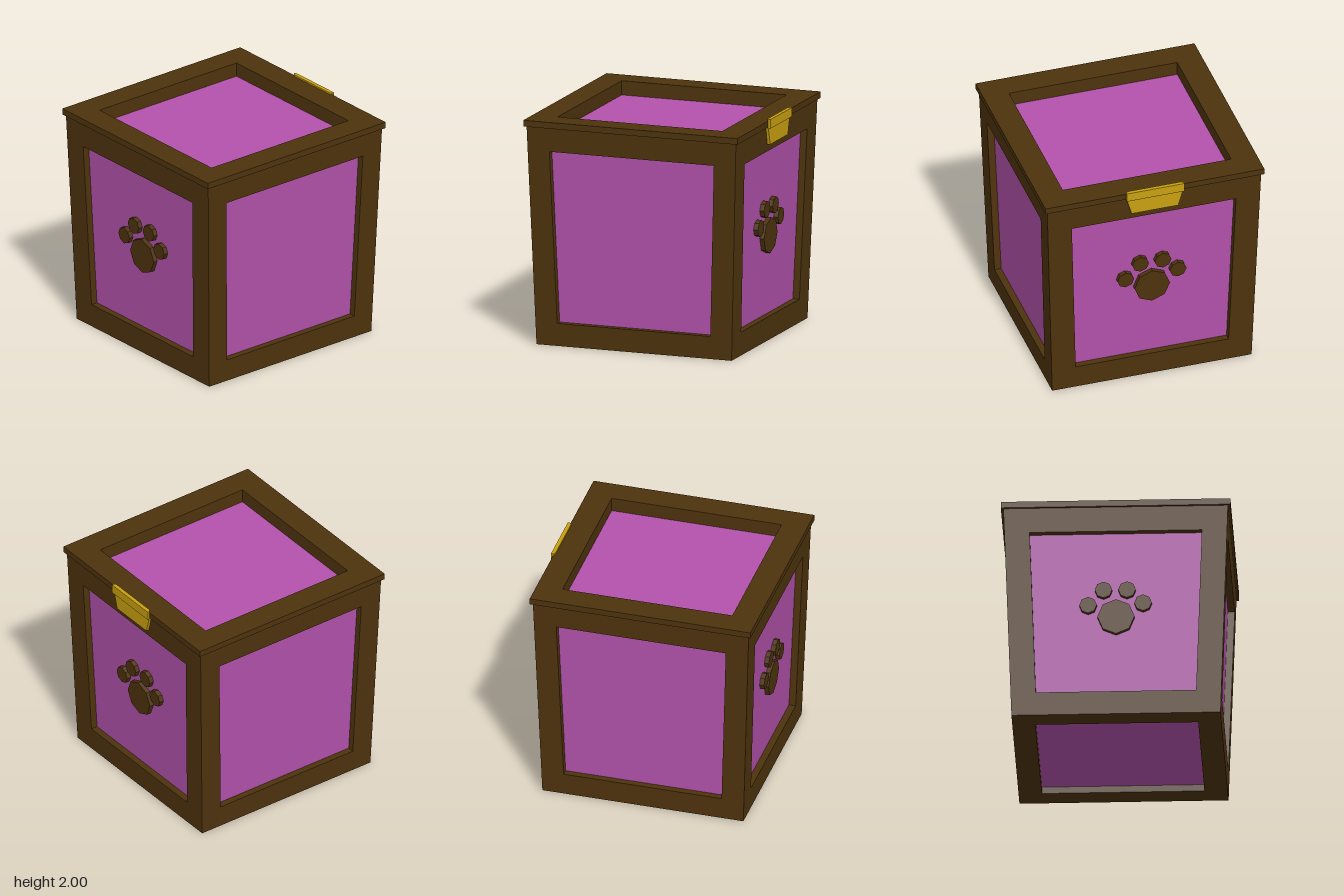
import * as THREE from 'three';

const brown = new THREE.MeshStandardMaterial({ color: 0x4e330d });
brown.name = 'dark wood';
const purple = new THREE.MeshStandardMaterial({ color: 0xb352ab });
purple.name = 'purple panel';
const gold = new THREE.MeshStandardMaterial({ color: 0xc8a010 });
gold.name = 'gold';

const BODY_H = 1.93, BASE = 0.9, FLARE = 0.066 / BODY_H, DEPTH = 0.06;
const half = (y) => BASE + FLARE * y; // half width of the flared body at height y

function mesh(name, geometry, material) {
  const m = new THREE.Mesh(geometry, material);
  m.name = name;
  return m;
}

// Flat-shaded geometry from quads given counter-clockwise
function quads(list) {
  const pos = [];
  for (const [a, b, c, d] of list) for (const p of [a, b, c, a, c, d]) pos.push(...p);
  const g = new THREE.BufferGeometry();
  g.setAttribute('position', new THREE.Float32BufferAttribute(pos, 3));
  g.computeVertexNormals();
  return g;
}

// One face of the crate: wooden frame, recess walls and sunken panel
function framedFace(name, outer, inner, inset) {
  const deep = inner.map((p) => p.map((v, k) => v + inset[k]));
  const wood = [];
  for (let i = 0; i < 4; i++) {
    const j = (i + 1) % 4;
    wood.push([outer[i], outer[j], inner[j], inner[i]], [inner[i], inner[j], deep[j], deep[i]]);
  }
  const g = new THREE.Group();
  g.name = name;
  g.add(mesh(name + 'Frame', quads(wood), brown), mesh(name + 'Panel', quads([deep]), purple));
  return g;
}

// Upright face seen along +z; border is the width of the side rails
function sideFace(name, y0, y1, border) {
  const ring = (a, b, e) => [[-half(a) + e, a, half(a)], [half(a) - e, a, half(a)],
    [half(b) - e, b, half(b)], [-half(b) + e, b, half(b)]];
  return framedFace(name, ring(0, BODY_H, 0), ring(y0, y1, border), [0, 0, -DEPTH]);
}

// Horizontal square corners; dir +1 faces up, -1 faces down
const square = (h, y, dir) => [[-h, y, h * dir], [h, y, h * dir], [h, y, -h * dir], [-h, y, -h * dir]];

// Paw emblem of octagonal pads lying on the sunken panel
function paw() {
  const g = new THREE.Group();
  g.name = 'pawEmblem';
  const pads = [[0, 0.92, 0.16], [-0.24, 1.03, 0.075], [-0.107, 1.17, 0.075],
    [0.095, 1.17, 0.075], [0.233, 1.045, 0.075]];
  pads.forEach(([x, y, r], i) => {
    const geo = new THREE.CylinderGeometry(r, r, 0.05, 8).toNonIndexed();
    geo.rotateX(Math.PI / 2);
    geo.computeVertexNormals();
    const pad = mesh(i ? 'toePad' + i : 'mainPad', geo, brown);
    pad.position.set(x, y - 1, 0.015);
    g.add(pad);
  });
  g.position.set(0, 1, half(1) - DEPTH);
  g.rotation.x = Math.atan(FLARE);
  return g;
}

function extrude(points, depth, holePoints) {
  const toV = (p) => new THREE.Vector2(p[0], p[1]);
  const shape = new THREE.Shape(points.map(toV));
  if (holePoints) shape.holes.push(new THREE.Path(holePoints.map(toV)));
  return new THREE.ExtrudeGeometry(shape, { depth, bevelEnabled: false });
}

export function createModel() {
  const model = new THREE.Group();
  model.name = 'crate';

  // Flared body
  const body = new THREE.Group();
  body.name = 'body';
  ['front', 'left', 'back', 'right'].forEach((name, i) => {
    const face = i % 2 ? sideFace(name, 0.2, 1.72, 0.2) : sideFace(name, 0.21, 1.705, 0.217);
    if (i % 2 === 0) face.add(paw());
    face.rotation.y = i * Math.PI / 2;
    body.add(face);
  });
  body.add(framedFace('bottom', square(BASE, 0, -1), square(0.7, 0, -1), [0, DEPTH, 0]));
  body.add(framedFace('top', square(half(BODY_H), BODY_H, 1), square(0.76, BODY_H, 1), [0, -0.07, 0]));
  body.position.z = 0.008;
  model.add(body);

  // Overhanging lid frame
  const sq = (h) => [[-h, -h], [h, -h], [h, h], [-h, h]];
  const lidGeo = extrude(sq(0.988), 0.055, sq(0.76));
  lidGeo.rotateX(-Math.PI / 2);
  const lid = mesh('lidFrame', lidGeo, brown);
  lid.position.set(0, BODY_H, 0.008);
  model.add(lid);

  // Latch on the back: cap over the lid edge and a tapered tongue below it
  const latch = new THREE.Group();
  latch.name = 'latch';
  const capGeo = extrude([[-0.26, 0.015], [-0.24, 0], [0.24, 0], [0.26, 0.015], [0.26, 0.035], [-0.26, 0.035]], 0.08);
  capGeo.rotateX(-Math.PI / 2);
  const cap = mesh('latchCap', capGeo, gold);
  cap.position.set(0, 1.92, -0.965);
  const tongue = mesh('latchTongue', extrude([[-0.21, 1.77], [0.21, 1.77], [0.255, 1.925], [-0.255, 1.925]], 0.035), gold);
  tongue.position.z = -0.98;
  latch.add(cap, tongue);
  model.add(latch);

  return model;
}
